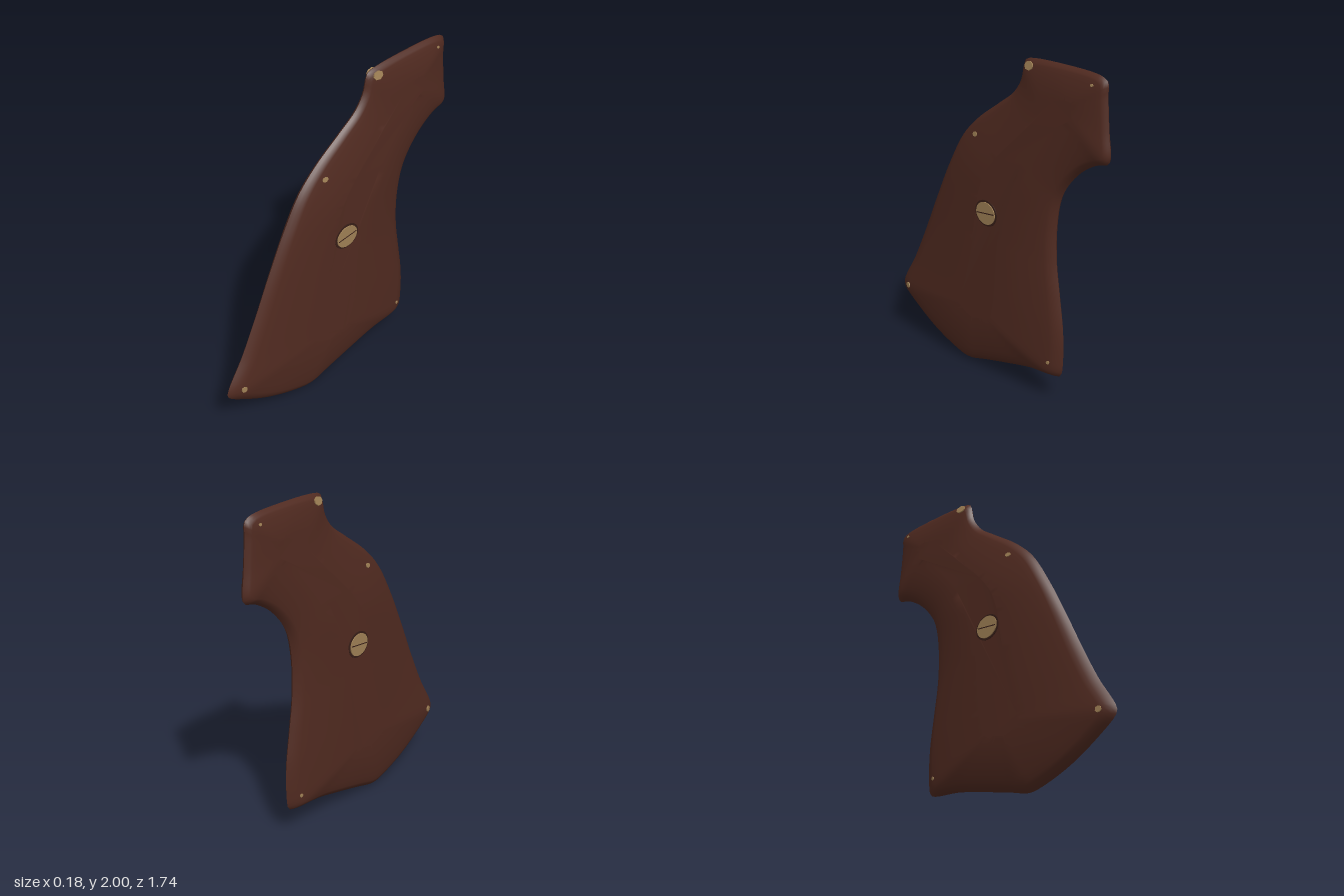
import * as THREE from 'three';

const wood = new THREE.MeshStandardMaterial({ color: 0x502a20 });
wood.name = 'walnut wood';
const brass = new THREE.MeshStandardMaterial({ color: 0x9f8055 });
brass.name = 'aged brass';
const dark = new THREE.MeshStandardMaterial({ color: 0x371e17 });
dark.name = 'dark wood';

// Outline of the grip as [z, y]
const OUTLINE = [
  [-0.23, 1.97], [-0.27, 1.985], [-0.5, 2.0], [-0.8, 1.99], [-0.84, 1.965], [-0.84, 1.9], [-0.855, 1.7],
  [-0.87, 1.56], [-0.86, 1.53], [-0.77, 1.5], [-0.66, 1.43], [-0.56, 1.32], [-0.51, 1.22],
  [-0.485, 1.05], [-0.49, 0.85], [-0.52, 0.65], [-0.55, 0.45], [-0.555, 0.3], [-0.54, 0.18],
  [-0.51, 0.16], [-0.3, 0.135], [-0.1, 0.09], [0.1, 0.04], [0.25, 0.003], [0.35, 0.02],
  [0.55, 0.09], [0.75, 0.2], [0.86, 0.28], [0.87, 0.31], [0.75, 0.52], [0.65, 0.72],
  [0.52, 1.0], [0.41, 1.22], [0.29, 1.42], [0.16, 1.55], [-0.02, 1.68], [-0.14, 1.77], [-0.2, 1.86],
];
// Ridge line down the middle of each face
const SPINE = [[-0.58, 1.78], [-0.45, 1.68], [-0.22, 1.45], [-0.03, 1.2], [0, 0.95], [0.05, 0.6], [0.1, 0.42]];
// Face section: share of the way from rim to ridge, share of full thickness
const SECTION = [[0, 0], [0.03, 0.21], [0.075, 0.41], [0.12, 0.52], [0.22, 0.64], [0.35, 0.77],
  [0.5, 0.88], [0.65, 0.96], [0.8, 1]];
const N = 200;

const toVec = ([z, y]) => new THREE.Vector3(0, y, z);

// Rim points, each with a matching ridge point, evened out along the loop
function makeLoops() {
  const rim = new THREE.CatmullRomCurve3(OUTLINE.map(toVec), true, 'centripetal').getSpacedPoints(N).slice(0, N);
  const ridge = new THREE.CatmullRomCurve3(SPINE.map(toVec)).getSpacedPoints(120);
  const near = rim.map((p) => ridge.reduce((a, b) => (b.distanceTo(p) < a.distanceTo(p) ? b : a)));
  const inner = near.map((_, i) => {
    const sum = new THREE.Vector3();
    for (let k = -5; k <= 5; k++) sum.add(near[(i + k + N) % N]);
    return sum.divideScalar(11);
  });
  return { rim, inner };
}

// One half of the grip; side is +1 or -1
function panelGeometry(side, { rim, inner }) {
  const pos = [], index = [], last = SECTION.length - 1;
  const face = (a, b, c) => (side > 0 ? index.push(a, c, b) : index.push(a, b, c));
  let ring;
  SECTION.forEach(([t, f], k) => {
    ring = rim.map((p, i) => p.clone().lerp(inner[i], t));
    ring.forEach((p, i) => {
      const thick = THREE.MathUtils.lerp(0.083, 0.056, THREE.MathUtils.smoothstep(p.y, 1.2, 1.8));
      pos.push(side * thick * f, p.y, p.z);
      if (k === last) return;
      const a = k * N + i, b = k * N + (i + 1) % N;
      face(a, b, b + N);
      face(a, b + N, a + N);
    });
  });
  // Close the middle of the face
  const flat = ring.map((p) => new THREE.Vector2(p.z, p.y));
  for (const [a, b, c] of THREE.ShapeUtils.triangulateShape(flat, [])) {
    const ccw = THREE.ShapeUtils.area([flat[a], flat[b], flat[c]]) > 0;
    const o = last * N;
    if (ccw) face(o + a, o + b, o + c);
    else face(o + a, o + c, o + b);
  }
  const geo = new THREE.BufferGeometry();
  geo.setAttribute('position', new THREE.Float32BufferAttribute(pos, 3));
  geo.setIndex(index);
  geo.computeVertexNormals();
  return geo;
}

// Thin worn patch lying on the panel at the vertex nearest to z, y
function wornPatch(geo, z, y, w, h) {
  const p = geo.attributes.position, n = geo.attributes.normal;
  let best = 0, bestD = Infinity;
  for (let i = 0; i < p.count; i++) {
    const d = Math.hypot(p.getZ(i) - z, p.getY(i) - y);
    if (d < bestD) { bestD = d; best = i; }
  }
  const normal = new THREE.Vector3().fromBufferAttribute(n, best);
  const patch = new THREE.Mesh(new THREE.CylinderGeometry(1, 1, 0.008, 7), brass);
  patch.name = 'wornPatch';
  patch.scale.set(h, 1, w);
  patch.quaternion.setFromUnitVectors(new THREE.Vector3(0, 1, 0), normal);
  patch.position.fromBufferAttribute(p, best).addScaledVector(normal, 0.001);
  return patch;
}

// Slotted screw head facing outwards
function screw(side) {
  const g = new THREE.Group();
  g.name = 'screw';
  const disc = (name, ry, rz, depth, x, mat) => {
    const m = new THREE.Mesh(new THREE.CylinderGeometry(1, 1, depth, 28), mat);
    m.name = name;
    m.scale.set(ry, 1, rz);
    m.rotation.z = Math.PI / 2;
    m.position.x = side * x;
    g.add(m);
  };
  disc('screwRecess', 0.078, 0.09, 0.008, 0.0805, dark);
  disc('screwHead', 0.067, 0.077, 0.02, 0.08, brass);
  const slot = new THREE.Mesh(new THREE.BoxGeometry(0.003, 0.006, 0.14), dark);
  slot.name = 'screwSlot';
  slot.position.x = side * 0.0895;
  slot.rotation.x = 0.12;
  g.add(slot);
  g.position.set(0, 1.035, 0.003);
  return g;
}

export function createModel() {
  const model = new THREE.Group();
  model.name = 'grip';
  const loops = makeLoops();
  // Worn patches: z, y, half width, half height
  const patches = [[-0.3, 1.94, 0.034, 0.026], [0.13, 1.475, 0.02, 0.015], [0.76, 0.325, 0.019, 0.019],
    [-0.47, 0.245, 0.011, 0.011], [-0.76, 1.95, 0.01, 0.008]];
  for (const side of [1, -1]) {
    const half = new THREE.Group();
    half.name = side > 0 ? 'leftHalf' : 'rightHalf';
    const geo = panelGeometry(side, loops);
    const panel = new THREE.Mesh(geo, wood);
    panel.name = 'gripPanel';
    half.add(panel, screw(side));
    patches.forEach((s) => half.add(wornPatch(geo, ...s)));
    model.add(half);
  }
  return model;
}
